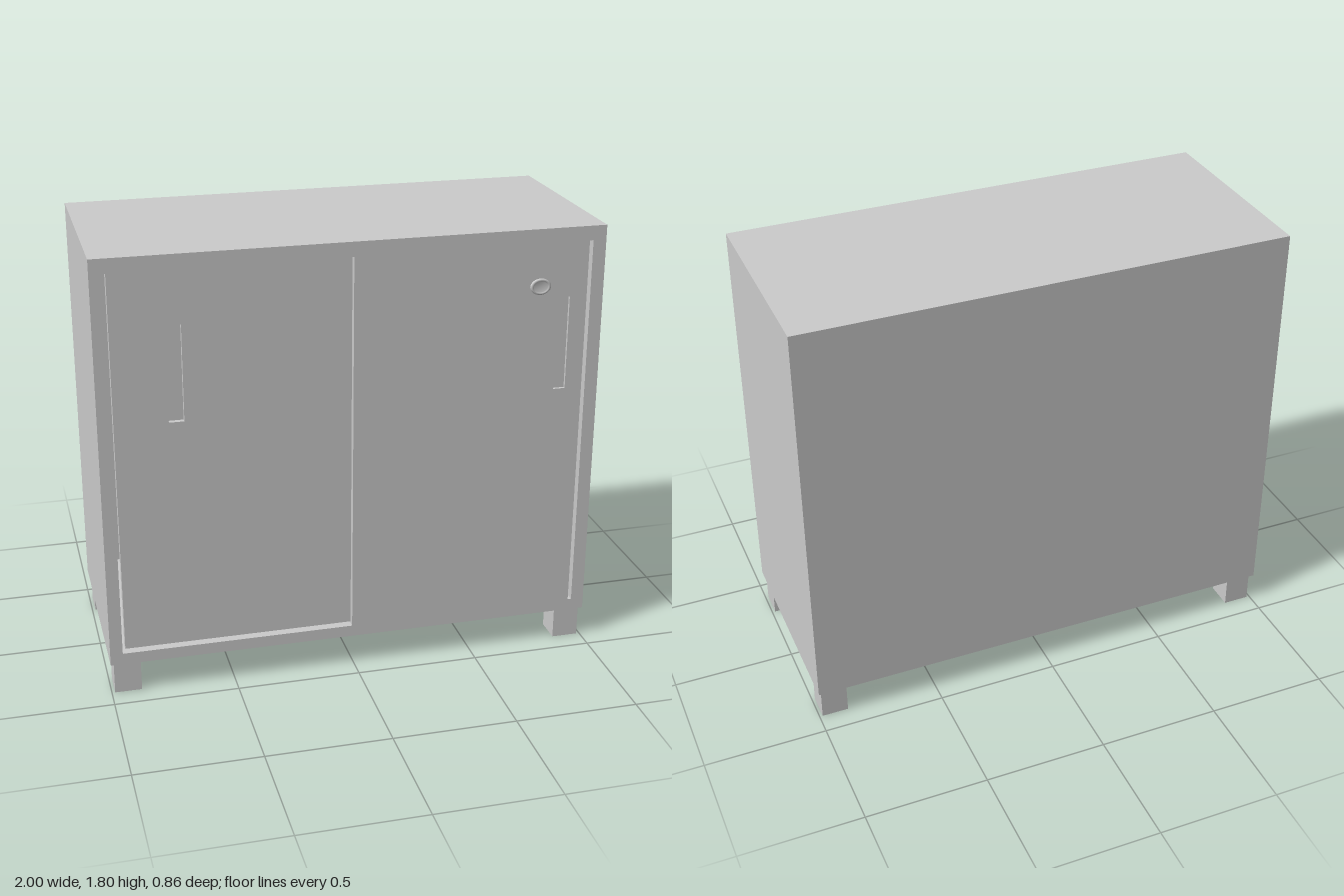
import * as THREE from 'three';

const mat = new THREE.MeshStandardMaterial({ color: 0xcccccc });
const FRONT = 0.425, BACK = -0.43, BASE = 0.133, TOP = 1.8;

function add(parent, name, geometry, x = 0, y = 0, z = 0) {
  const mesh = new THREE.Mesh(geometry, mat);
  mesh.name = name;
  mesh.position.set(x, y, z);
  parent.add(mesh);
  return mesh;
}

function trace(path, [x0, x1, y0, y1]) {
  path.moveTo(x0, y0);
  path.lineTo(x1, y0);
  path.lineTo(x1, y1);
  path.lineTo(x0, y1);
  path.closePath();
  return path;
}

// Rectangular plate with a rectangular opening, front face at z = front
function framedPlate(outer, hole, depth, front) {
  const shape = trace(new THREE.Shape(), outer);
  shape.holes.push(trace(new THREE.Path(), hole));
  const g = new THREE.ExtrudeGeometry(shape, { depth, bevelEnabled: false });
  return g.translate(0, 0, front - depth);
}

// Sliding door with a sunken finger pull
function slidingDoor(name, [x0, x1, y0, y1], pull, pullDepth, front) {
  const door = new THREE.Group();
  door.name = name;
  add(door, 'doorFace', framedPlate([x0, x1, y0, y1], pull, pullDepth, front));
  add(door, 'doorBacking', new THREE.BoxGeometry(x1 - x0, y1 - y0, 0.015),
    (x0 + x1) / 2, (y0 + y1) / 2, front - pullDepth - 0.0075);
  return door;
}

export function createModel() {
  const model = new THREE.Group();
  model.name = 'slidingDoorCabinet';

  // Carcass: open-fronted shell and back panel
  const opening = [-0.95, 0.947, 0.18, 1.742];
  add(model, 'carcass', framedPlate([-1, 1, BASE, TOP], opening, FRONT - BACK - 0.02, FRONT));
  add(model, 'backPanel', new THREE.BoxGeometry(2, TOP - BASE, 0.02), 0, (TOP + BASE) / 2, BACK + 0.01);

  // Right-hand sliding door runs flush, the other one behind it
  model.add(slidingDoor('rearDoor', [-0.935, 0.03, 0.18, 1.742], [-0.725, -0.665, 1.13, 1.517], 0.02, FRONT - 0.037));
  model.add(slidingDoor('frontDoor', [-0.01, 0.932, 0.18, 1.742], [0.812, 0.862, 1.14, 1.522], 0.012, FRONT));

  // Oval lock with a raised rim and a dished centre
  const profile = [[0.042, 0], [0.042, 0.006], [0.038, 0.009], [0.031, 0.009], [0.028, 0.004], [0, 0.004]]
    .map(([r, h]) => new THREE.Vector2(r, h));
  const lock = add(model, 'lock', new THREE.LatheGeometry(profile, 32).rotateX(Math.PI / 2), 0.737, 1.571, FRONT);
  lock.scale.y = 0.77;

  // Square feet at the four corners
  for (const x of [-0.933, 0.933]) {
    for (const z of [-0.357, 0.355]) {
      add(model, 'foot', new THREE.BoxGeometry(0.108, BASE, 0.11), x, BASE / 2, z);
    }
  }
  return model;
}
